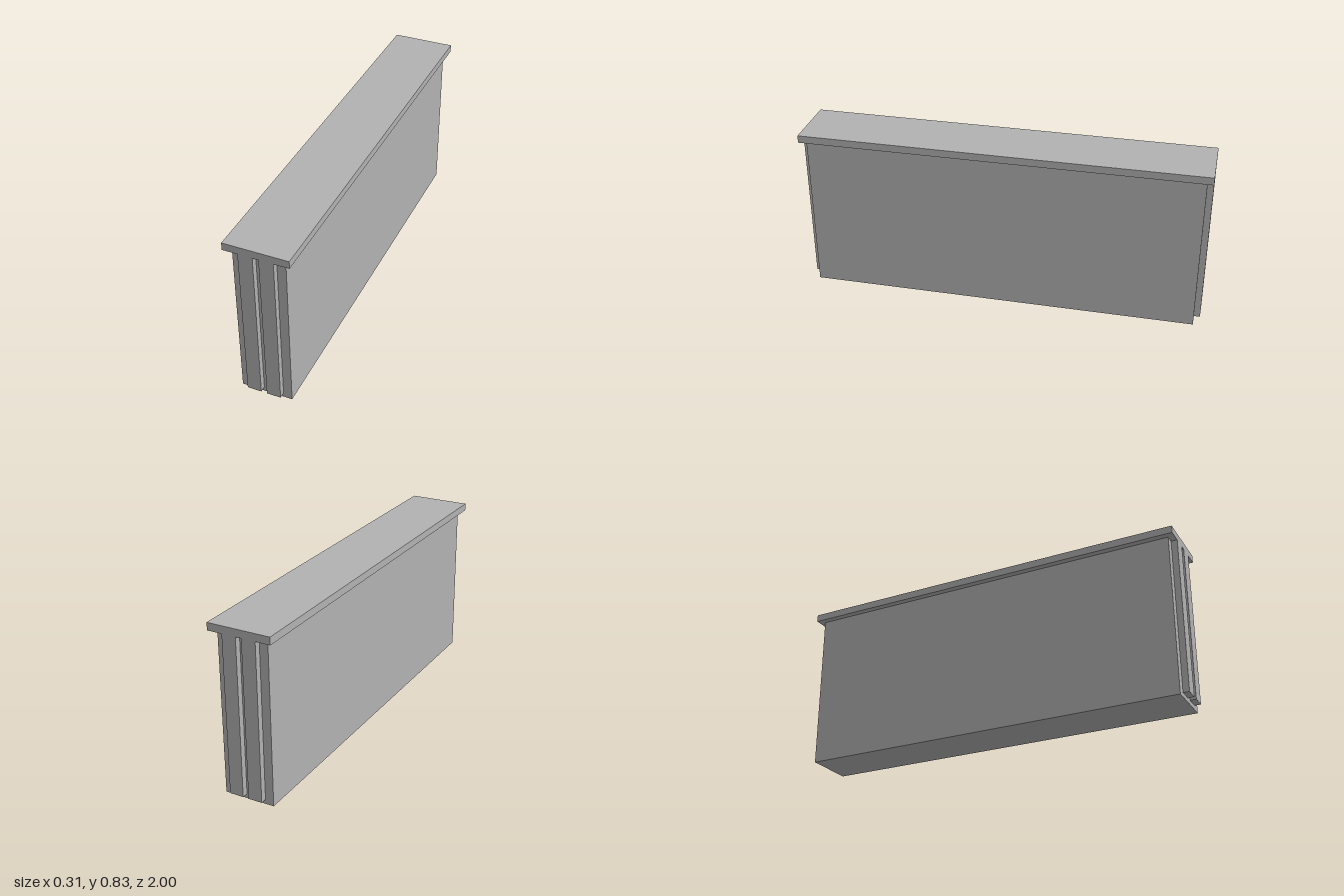
import * as THREE from 'three';

const grey = new THREE.MeshStandardMaterial({ color: 0xb2b2b2 });
grey.name = 'plainGrey';

// Box given by its lower and upper corners
function box(name, [x0, y0, z0], [x1, y1, z1]) {
  const mesh = new THREE.Mesh(new THREE.BoxGeometry(x1 - x0, y1 - y0, z1 - z0), grey);
  mesh.position.set((x0 + x1) / 2, (y0 + y1) / 2, (z0 + z1) / 2);
  mesh.name = name;
  return mesh;
}

export function createModel() {
  const group = new THREE.Group();
  group.name = 'cappedWall';
  const capBottom = 0.798;

  // Wall slab and overhanging cap
  group.add(box('wall', [-0.125, 0, -0.97], [0.125, capBottom, 0.97]));
  group.add(box('cap', [-0.156, capBottom, -1], [0.156, 0.835, 1]));

  // Two raised strips on each end, flush with the cap and clear of the ground
  for (const side of [-1, 1]) {
    for (const end of [-1, 1]) {
      const x = side * 0.0485, z = end * 0.985;
      group.add(box(
        (end > 0 ? 'front' : 'back') + (side > 0 ? 'Left' : 'Right') + 'Strip',
        [x - 0.0345, 0.022, z - 0.015],
        [x + 0.0345, capBottom, z + 0.015],
      ));
    }
  }
  return group;
}
